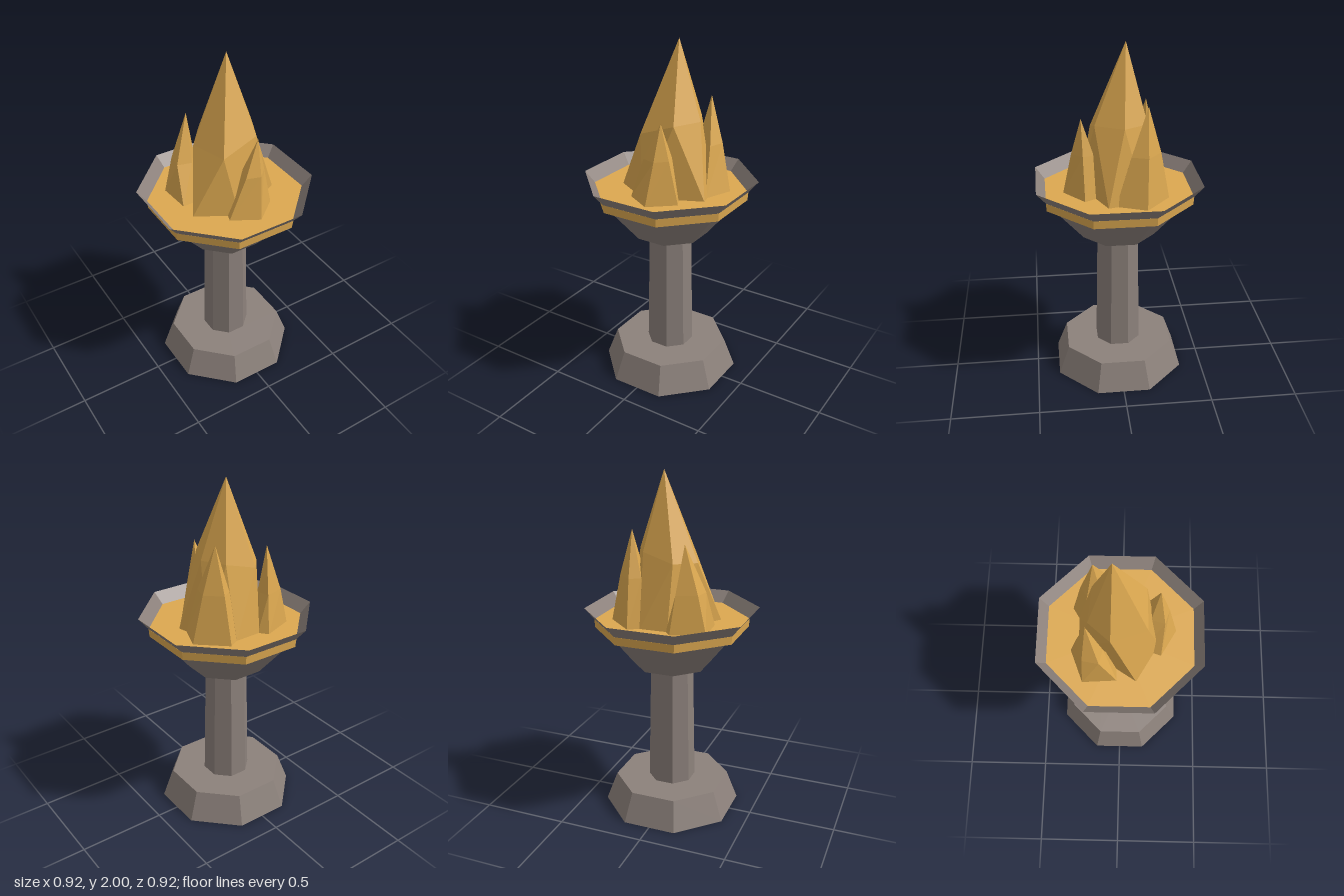
import * as THREE from 'three';

const mat = (name, color, side = THREE.FrontSide) => {
  const m = new THREE.MeshStandardMaterial({ color, side, flatShading: true });
  m.name = name;
  return m;
};

// Flame tongue: apex, a middle ring and a bottom ring (counter-clockwise from above)
function flameGeometry(apex, mid, midY, base, baseY) {
  const M = mid.map((p) => [p[0], p[2] ?? midY, p[1]]);
  const B = base.map((p) => [p[0], baseY, p[1]]);
  const pos = [];
  const n = M.length;
  for (let i = 0; i < n; i++) {
    const j = (i + 1) % n;
    pos.push(...apex, ...M[i], ...M[j]);
    pos.push(...M[i], ...B[i], ...M[j]);
    pos.push(...M[j], ...B[i], ...B[j]);
  }
  const g = new THREE.BufferGeometry();
  g.setAttribute('position', new THREE.Float32BufferAttribute(pos, 3));
  g.computeVertexNormals();
  return g;
}

export function createModel() {
  const group = new THREE.Group();
  const stone = mat('stone', 0x8c817b, THREE.DoubleSide);
  const gold = mat('gold', 0xdca850, THREE.DoubleSide);

  const add = (name, geometry, material) => {
    const mesh = new THREE.Mesh(geometry, material);
    mesh.name = name;
    group.add(mesh);
    return mesh;
  };

  // Eight-sided turned parts with a flat side to the front; widths are across the flats
  const octagon = (name, profile, material) => {
    const k = 1 / Math.cos(Math.PI / 8);
    const pts = profile.map(([r, y]) => new THREE.Vector2(r * k, y));
    const g = new THREE.LatheGeometry(pts, 8).toNonIndexed();
    g.rotateY(Math.PI / 8);
    g.computeVertexNormals();
    return add(name, g, material);
  };

  // Hollow foot, column and open bowl
  octagon('base', [[0.37, 0], [0.31, 0.17], [0.127, 0.17], [0.126, 0.185], [0, 0.185]], stone);
  octagon('column', [[0.127, 0.17], [0.113, 0.895]], stone);
  octagon('bowl', [[0, 0.895], [0.203, 0.895], [0.46, 1.225]], stone);

  // Gold band, closed on top as the bed of the fire
  octagon('goldBand', [[0.36, 1.112], [0.406, 1.112], [0.409, 1.159], [0, 1.159]], gold);

  // Flames; ring points are [x, z] or [x, z, y]
  const flames = [
    ['mainFlame', [0.03, 2, -0.04],
      [[-0.17, -0.05, 1.51], [-0.1, 0.145, 1.5], [0.105, 0.135, 1.57], [0.18, -0.02, 1.57], [0.11, -0.15, 1.57], [-0.07, -0.17, 1.52]], 1.5,
      [[-0.265, 0.09], [-0.045, 0.215], [0.268, 0.075], [0.22, -0.13], [0.1, -0.235], [-0.06, -0.23]]],
    ['backRightFlame', [-0.14, 1.635, -0.175],
      [[-0.225, -0.2], [-0.24, -0.11], [-0.16, -0.09], [-0.1, -0.17], [-0.11, -0.235]], 1.37,
      [[-0.275, -0.205], [-0.262, -0.015], [-0.15, -0.02], [-0.05, -0.225], [-0.09, -0.275]]],
    ['backLeftFlame', [0.175, 1.69, -0.145],
      [[0.12, -0.1], [0.225, -0.05], [0.253, -0.14], [0.168, -0.218], [0.11, -0.18]], 1.43,
      [[0.1, 0], [0.25, 0.035], [0.315, -0.13], [0.16, -0.27], [0.085, -0.225]]],
    ['frontFlame', [0.07, 1.6, 0.205],
      [[-0.02, 0.235], [0.06, 0.26], [0.118, 0.2], [0.1, 0.14], [0, 0.16]], 1.4,
      [[-0.115, 0.225], [0.035, 0.31], [0.173, 0.195], [0.12, 0.1], [-0.08, 0.12]]],
  ];
  for (const [name, apex, mid, midY, base] of flames) {
    add(name, flameGeometry(apex, mid, midY, base, 1.155), gold);
  }
  return group;
}
